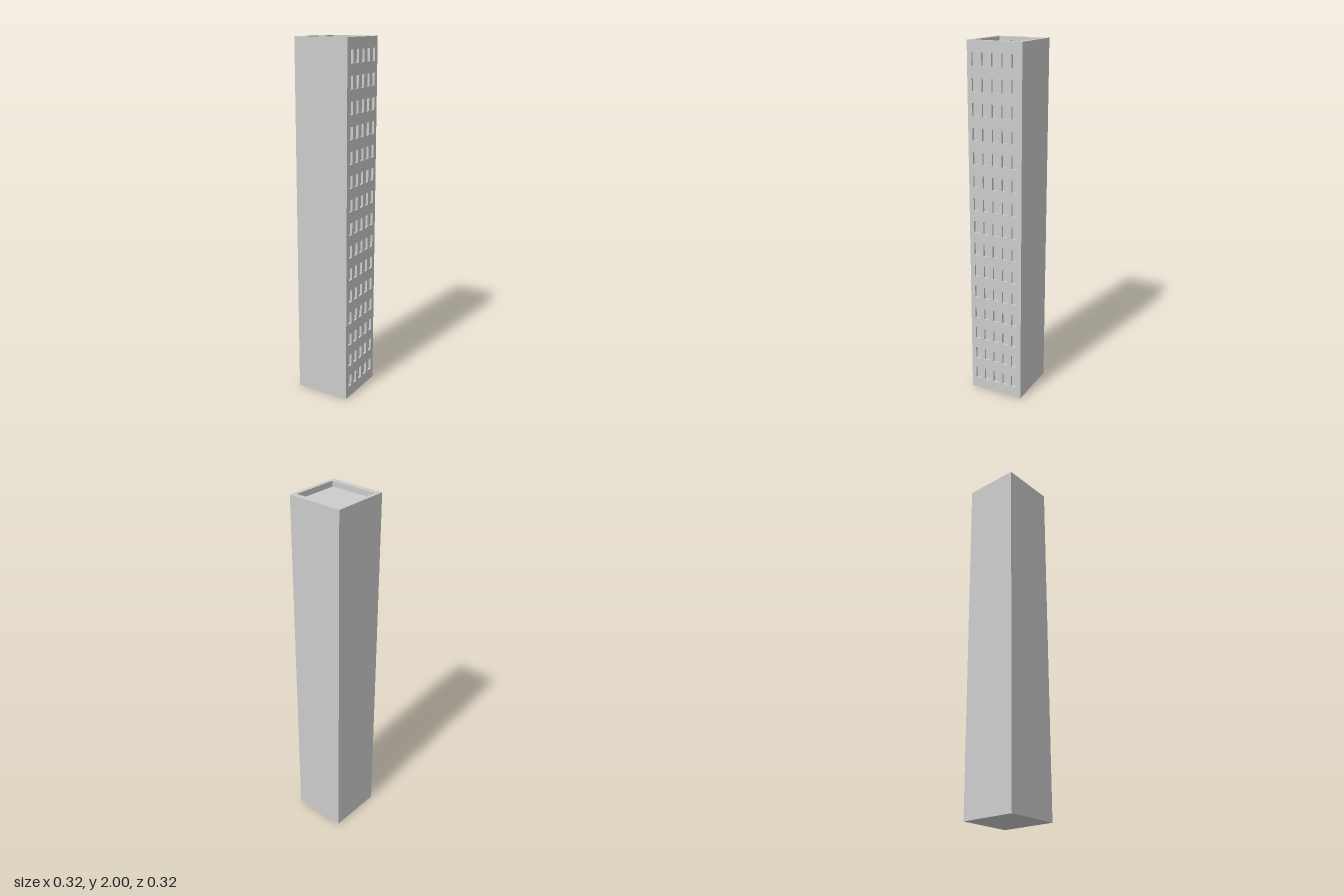
import * as THREE from 'three';
import { mergeGeometries } from 'three/addons/utils/BufferGeometryUtils.js';

const HALF = 0.158, HEIGHT = 2;
const ROOF_DEPTH = 0.03, WINDOW_DEPTH = 0.013;

// Counter-clockwise rectangle from its centre and size
function rect(cx, cy, w, h) {
  return [[-1, -1], [1, -1], [1, 1], [-1, 1]]
    .map(([sx, sy]) => new THREE.Vector2(cx + sx * w / 2, cy + sy * h / 2));
}

function flatFace(shape, z = 0) {
  const g = new THREE.ShapeGeometry(shape).toNonIndexed();
  g.deleteAttribute('uv');
  return g.translate(0, 0, z);
}

// Side walls of a recess, facing into the opening
function recessWalls(points, depth) {
  const v = [];
  points.forEach((a, i) => {
    const b = points[(i + 1) % points.length];
    v.push(a.x, a.y, 0, b.x, b.y, 0, b.x, b.y, -depth);
    v.push(a.x, a.y, 0, b.x, b.y, -depth, a.x, a.y, -depth);
  });
  const g = new THREE.BufferGeometry();
  g.setAttribute('position', new THREE.Float32BufferAttribute(v, 3));
  g.computeVertexNormals();
  return g;
}

// Flat panel facing +z with recessed openings
function recessedPanel(outline, openings, depth) {
  const face = new THREE.Shape(outline);
  face.holes = openings.map((o) => new THREE.Path(o.slice().reverse()));
  const parts = [flatFace(face)];
  for (const o of openings) {
    parts.push(recessWalls(o, depth), flatFace(new THREE.Shape(o), -depth));
  }
  return mergeGeometries(parts);
}

export function createModel() {
  const model = new THREE.Group();
  model.name = 'towerBlock';
  const concrete = new THREE.MeshStandardMaterial({ color: 0xcccccc });
  concrete.name = 'concrete';

  const add = (name, geometry) => {
    const mesh = new THREE.Mesh(geometry, concrete);
    mesh.name = name;
    model.add(mesh);
    return mesh;
  };

  // Plain walls: front, back and the windowless side
  const plainWall = flatFace(new THREE.Shape(rect(0, HEIGHT / 2, HALF * 2, HEIGHT)), HALF);
  add('frontWall', plainWall);
  add('backWall', plainWall).rotation.y = Math.PI;
  add('rightWall', plainWall).rotation.y = -Math.PI / 2;

  // Window wall: 15 storeys of 5 recessed windows
  const windows = [];
  for (let floor = 0; floor < 15; floor++) {
    for (let i = -2; i <= 2; i++) {
      windows.push(rect(i * 0.0575, 0.098 + floor * 0.1291, 0.033, 0.068));
    }
  }
  const facade = add('windowWall',
    recessedPanel(rect(0, HEIGHT / 2, HALF * 2, HEIGHT), windows, WINDOW_DEPTH));
  facade.rotation.y = Math.PI / 2;
  facade.position.x = HALF;

  // Sunken roof with parapet and a solid corner block
  const roofEdge = [
    [-0.139, -0.129], [0.137, -0.129], [0.137, 0.131],
    [-0.1, 0.131], [-0.1, 0.045], [-0.139, 0.045],
  ].map(([x, y]) => new THREE.Vector2(x, y));
  const roof = add('roofAndParapet',
    recessedPanel(rect(0, 0, HALF * 2, HALF * 2), [roofEdge], ROOF_DEPTH));
  roof.rotation.x = -Math.PI / 2;
  roof.position.y = HEIGHT;

  // Small box on the roof
  const boxHeight = 0.013;
  add('roofBox', new THREE.BoxGeometry(0.019, boxHeight, 0.058))
    .position.set(-0.1095, HEIGHT - ROOF_DEPTH + boxHeight / 2, 0.071);

  // Underside
  add('base', flatFace(new THREE.Shape(rect(0, 0, HALF * 2, HALF * 2))))
    .rotation.x = Math.PI / 2;

  return model;
}
